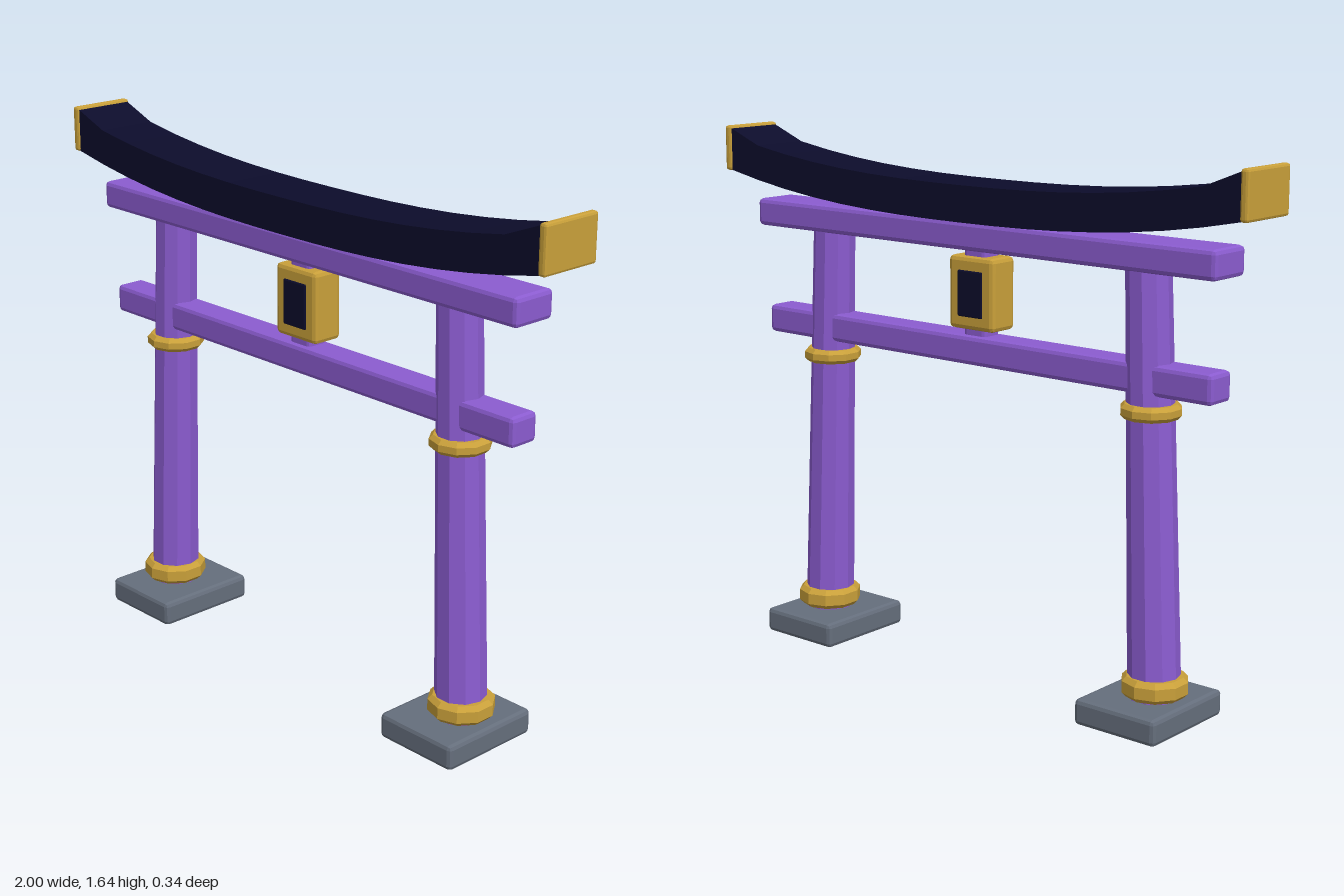
import * as THREE from 'three';
import { RoundedBoxGeometry } from 'three/addons/geometries/RoundedBoxGeometry.js';

function material(name, color) {
  const m = new THREE.MeshStandardMaterial({ color, flatShading: true });
  m.name = name;
  return m;
}

export function createModel() {
  const purple = material('purple paint', 0x8b5cd0);
  const gold = material('gold trim', 0xc9a03a);
  const slate = material('slate stone', 0x656e7c);
  const navy = material('navy roof', 0x0c0c2b);

  const gate = new THREE.Group();
  gate.name = 'gate';

  function add(name, geometry, mat, x = 0, y = 0, z = 0) {
    const mesh = new THREE.Mesh(geometry, mat);
    mesh.name = name;
    mesh.position.set(x, y, z);
    gate.add(mesh);
    return mesh;
  }
  // Box with a single chamfer, placed by its vertical range
  function block(name, mat, w, y0, y1, d, bevel, x = 0, z = 0) {
    return add(name, new RoundedBoxGeometry(w, y1 - y0, d, 1, bevel), mat, x, (y0 + y1) / 2, z);
  }
  // Ten-sided band with chamfered rims
  function band(name, r, y0, y1, c, x) {
    const h = y1 - y0;
    const profile = [[0, 0], [r - c, 0], [r, c], [r, h - c], [r - c, h], [0, h]]
      .map(([px, py]) => new THREE.Vector2(px, py));
    add(name, new THREE.LatheGeometry(profile, 10), gold, x, y0);
  }

  // Posts lean inwards towards the top
  const postX = (y) => 0.664 - 0.038 * y;
  for (const side of [-1, 1]) {
    const label = side > 0 ? 'left' : 'right';
    block(label + 'Base', slate, 0.286, 0, 0.08, 0.345, 0.014, side * 0.64);

    const y0 = 0.07, y1 = 1.35;
    const post = new THREE.CylinderGeometry(0.066, 0.079, y1 - y0, 10);
    post.rotateY(Math.PI / 2);
    post.translate(0, (y0 + y1) / 2, 0);
    const p = post.attributes.position;
    for (let i = 0; i < p.count; i++) p.setX(i, p.getX(i) + side * postX(p.getY(i)));
    add(label + 'Post', post, purple);

    band(label + 'FootCollar', 0.101, 0.085, 0.148, 0.014, side * 0.662);
    band(label + 'PostRing', 0.091, 0.908, 0.952, 0.012, side * 0.63);
    block(label + 'RoofCap', gold, 0.026, 1.502, 1.645, 0.207, 0.008, side * 0.987);
  }

  // Cross beams and the strut between them
  block('lowerBeam', purple, 1.732, 0.98, 1.07, 0.1, 0.014);
  block('upperBeam', purple, 1.77, 1.33, 1.417, 0.148, 0.014);
  block('centreStrut', purple, 0.084, 1.05, 1.35, 0.07, 0.012);

  // Plaque with a dark panel on both faces
  block('plaque', gold, 0.174, 1.088, 1.31, 0.104, 0.014);
  for (const s of [-1, 1]) {
    block(s > 0 ? 'frontPanel' : 'backPanel', navy, 0.094, 1.128, 1.268, 0.009, 0.004, 0, s * 0.0535);
  }

  // Roof beam sweeping up to its ends, with a sharper flick at the tips
  const half = 0.976;
  const roof = new THREE.BoxGeometry(half * 2, 0.11, 0.194, 16, 1, 1);
  const q = roof.attributes.position;
  for (let i = 0; i < q.count; i++) {
    const t = Math.abs(q.getX(i)) / half;
    const flick = q.getY(i) > 0 && t > 0.95 ? 0.024 : 0;
    q.setY(i, q.getY(i) + 1.472 + 0.086 * Math.pow(t, 2.5) + flick);
  }
  add('roofBeam', roof, navy);

  return gate;
}
